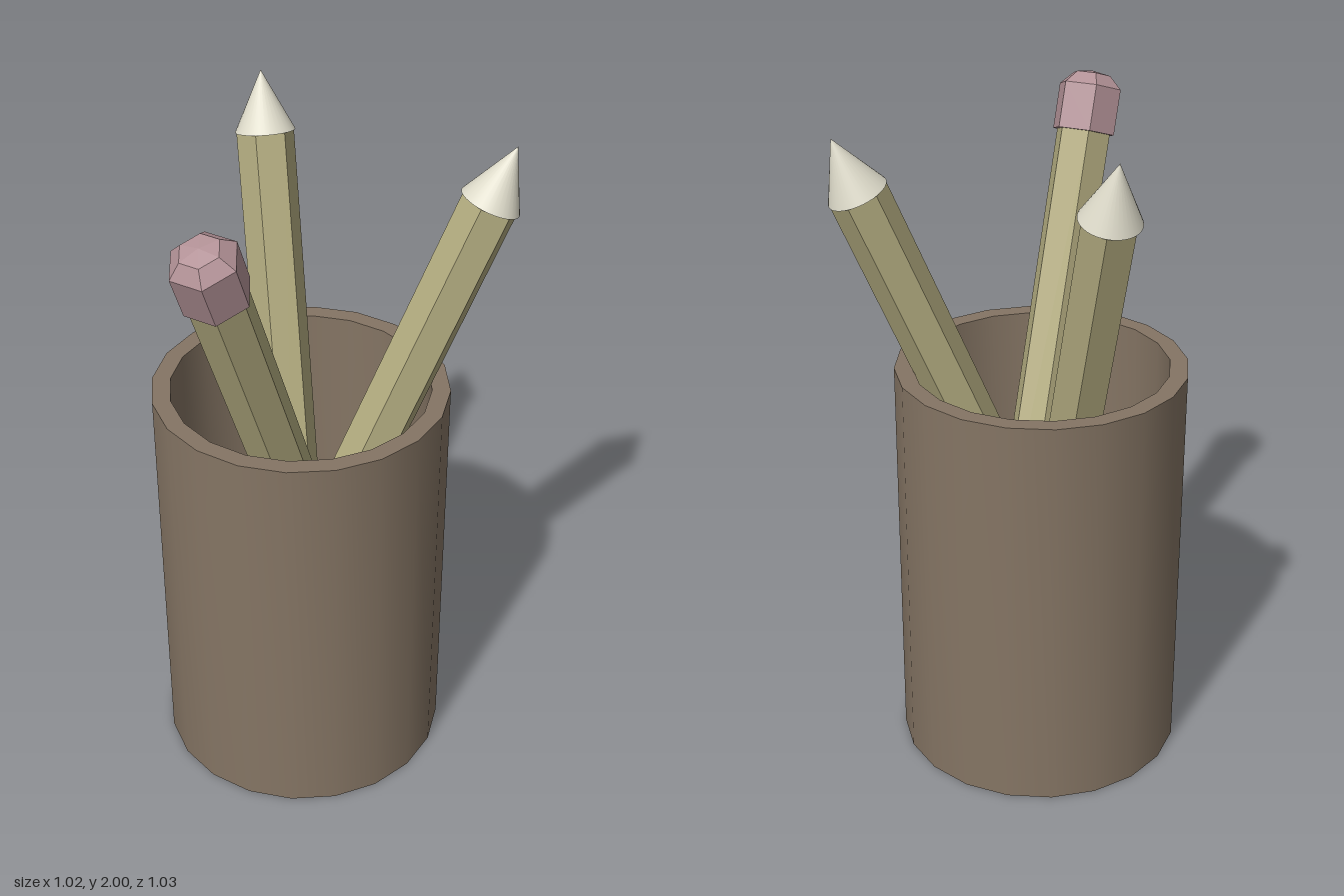
import * as THREE from 'three';
import { toCreasedNormals } from 'three/addons/utils/BufferGeometryUtils.js';

const mat = (color, flatShading = false) => new THREE.MeshStandardMaterial({ color, flatShading });
const cupMat = mat(0x857564);
const woodMat = mat(0xb3ac80, true);
const tipMat = mat(0xdedbca);
const rubberMat = mat(0xb29196, true);

const UP = new THREE.Vector3(0, 1, 0);
const LENGTH = 1.57;
const lathe = (pts, sides, start = 0) =>
  new THREE.LatheGeometry(pts.map(([r, y]) => new THREE.Vector2(r, y)), sides, start);

function part(name, geometry, material) {
  const mesh = new THREE.Mesh(geometry, material);
  mesh.name = name;
  return mesh;
}

// Hollow 20-sided cup with a thick floor
function makeCup() {
  const profile = [[0, 0], [0.43, 0], [0.43, 1.245], [0.377, 1.245], [0.377, 0.28], [0, 0.28]];
  const cup = part('cup', toCreasedNormals(lathe(profile, 20), Math.PI / 6), cupMat);
  cup.position.set(-0.085, 0, 0.017);
  return cup;
}

// Pencil whose local origin is the top of the hexagonal shaft
function makePencil({ name, top, dir, twist, eraser }) {
  const pencil = new THREE.Group();
  pencil.name = name;
  const shaft = new THREE.CylinderGeometry(0.084, 0.084, LENGTH, 6, 1, false, Math.PI / 2);
  shaft.translate(0, -LENGTH / 2, 0);
  pencil.add(part('shaft', shaft, woodMat));

  if (eraser) {
    // Chamfered hexagonal rubber
    const profile = [[0, 0], [0.097, 0], [0.097, 0.135], [0.058, 0.172], [0, 0.182]];
    pencil.add(part('eraser', lathe(profile, 6, Math.PI / 2), rubberMat));
  } else {
    // Smooth round point
    const cone = new THREE.ConeGeometry(0.087, 0.173, 32);
    cone.translate(0, 0.0865, 0);
    pencil.add(part('point', cone, tipMat));
  }

  // Lean the pencil, after turning it about its own axis
  pencil.position.set(...top);
  pencil.quaternion.setFromUnitVectors(UP, new THREE.Vector3(...dir).normalize());
  pencil.rotateY(THREE.MathUtils.degToRad(twist));
  return pencil;
}

export function createModel() {
  const model = new THREE.Group();
  model.name = 'pencilCup';
  model.add(makeCup());
  [
    { name: 'backPencil', top: [-0.085, 1.835, -0.422], dir: [0, 1, -0.29], twist: 0 },
    { name: 'leftPencil', top: [0.427, 1.808, 0.1], dir: [0.42, 1, 0.02], twist: -8 },
    { name: 'frontPencil', top: [-0.38, 1.797, 0.398], dir: [-0.29, 1, 0.285], twist: 15, eraser: true },
  ].forEach((p) => model.add(makePencil(p)));
  return model;
}
